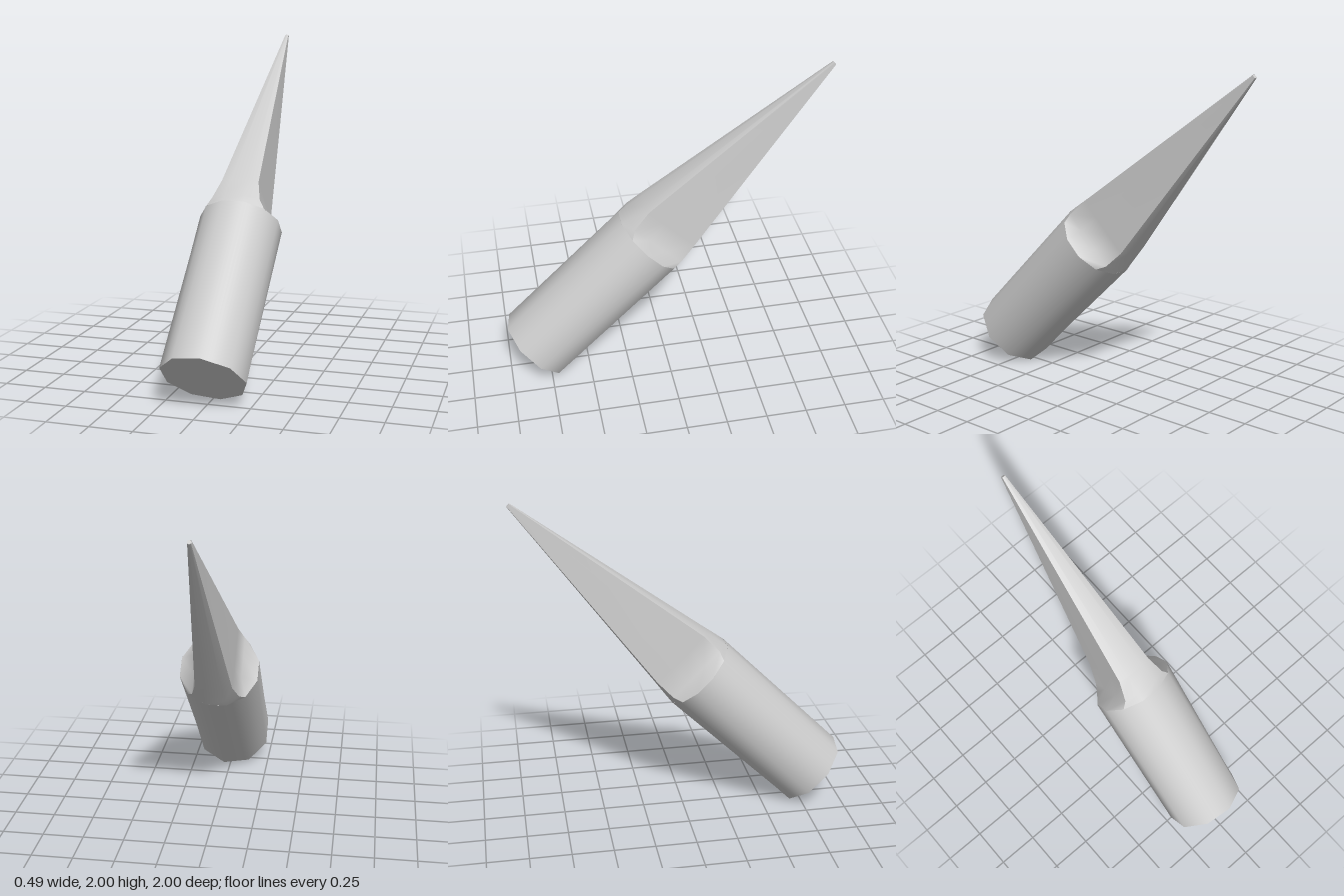
import * as THREE from 'three';

const RADIUS = 0.25, RIM = 1.033, TIP = 2.57;

// Cross-sections of the point, one quadrant each as [x, z]: side, corner, top
const SECTIONS = [
  { y: RIM, side: [0.241, 0.065], corner: [0.177, 0.177], top: [0.065, 0.241] },
  { y: 1.083, side: [0.147, 0.07], corner: [0.145, 0.198], top: [0.063, 0.234] },
  { y: 1.21, side: [0.113, 0.07], corner: [0.113, 0.198], top: [0.057, 0.214] },
  { y: TIP, side: [0.011, 0.003], corner: [0.01, 0.01], top: [0.003, 0.0125] },
];

// Radius of a regular polygon with its first corner at angle "offset"
function polygonRadius(angle, sides, offset) {
  const step = (2 * Math.PI) / sides;
  const a = (((angle - offset) % step) + step) % step;
  return (RADIUS * Math.cos(step / 2)) / Math.cos(a - step / 2);
}

// Smooth strip through rows of points, facing outwards
function strip(rows) {
  const n = rows[0].length, index = [];
  for (let r = 0; r < rows.length - 1; r++) {
    for (let c = 0; c < n - 1; c++) {
      const a = r * n + c, up = a + n;
      index.push(a, up, a + 1, a + 1, up, up + 1);
    }
  }
  const g = new THREE.BufferGeometry();
  g.setAttribute('position', new THREE.Float32BufferAttribute(rows.flat(2), 3));
  g.setIndex(index);
  g.computeVertexNormals();
  return g;
}

export function createModel() {
  const group = new THREE.Group();
  group.name = 'taperedTip';
  const material = new THREE.MeshStandardMaterial({ color: 0xcccccc, side: THREE.DoubleSide });
  const add = (name, geometry) => {
    const mesh = new THREE.Mesh(geometry, material);
    mesh.name = name;
    group.add(mesh);
    return mesh;
  };

  // Shank: nine-sided at the base, twelve-sided at the rim, smooth normals
  const shank = new THREE.CylinderGeometry(RADIUS, RADIUS, RIM, 72, 1, true);
  shank.translate(0, RIM / 2, 0);
  const p = shank.attributes.position;
  for (let i = 0; i < p.count; i++) {
    const angle = Math.atan2(p.getZ(i), p.getX(i));
    const r = p.getY(i) < RIM / 2
      ? polygonRadius(angle, 9, 0)
      : polygonRadius(angle, 12, Math.PI / 12);
    p.setX(i, r * Math.cos(angle));
    p.setZ(i, r * Math.sin(angle));
  }
  add('shank', shank);

  // Flat base
  add('base', new THREE.CircleGeometry(RADIUS, 9).rotateX(Math.PI / 2));

  // Scooped flats on the sides and rounded tapers between them
  const flatRows = SECTIONS.map(({ y, side: s, corner: c }) => [
    [c[0], y, -c[1]], [s[0], y, -s[1]], [s[0], y, s[1]], [c[0], y, c[1]],
  ]);
  const taperRows = SECTIONS.map(({ y, corner: c, top: t }) => [
    [c[0], y, c[1]], [t[0], y, t[1]], [-t[0], y, t[1]], [-c[0], y, c[1]],
  ]);
  // Tapers start straight at the rim, so their second row is not needed for shape
  const flat = strip(flatRows), taper = strip(taperRows);
  for (const [i, label] of ['left', 'right'].entries()) {
    add(label + 'Flat', flat).rotation.y = i * Math.PI;
  }
  for (const [i, label] of ['upper', 'lower'].entries()) {
    add(label + 'Taper', taper).rotation.y = i * Math.PI;
  }

  // Blunt end of the point
  add('pointEnd', new THREE.CircleGeometry(0.0125, 12).rotateX(-Math.PI / 2)).position.y = TIP;

  // Lean the whole tool backwards
  group.rotation.x = -Math.PI / 4;
  group.position.set(0, 0.174, 0.826);
  const model = new THREE.Group();
  model.name = 'model';
  model.add(group);
  return model;
}
